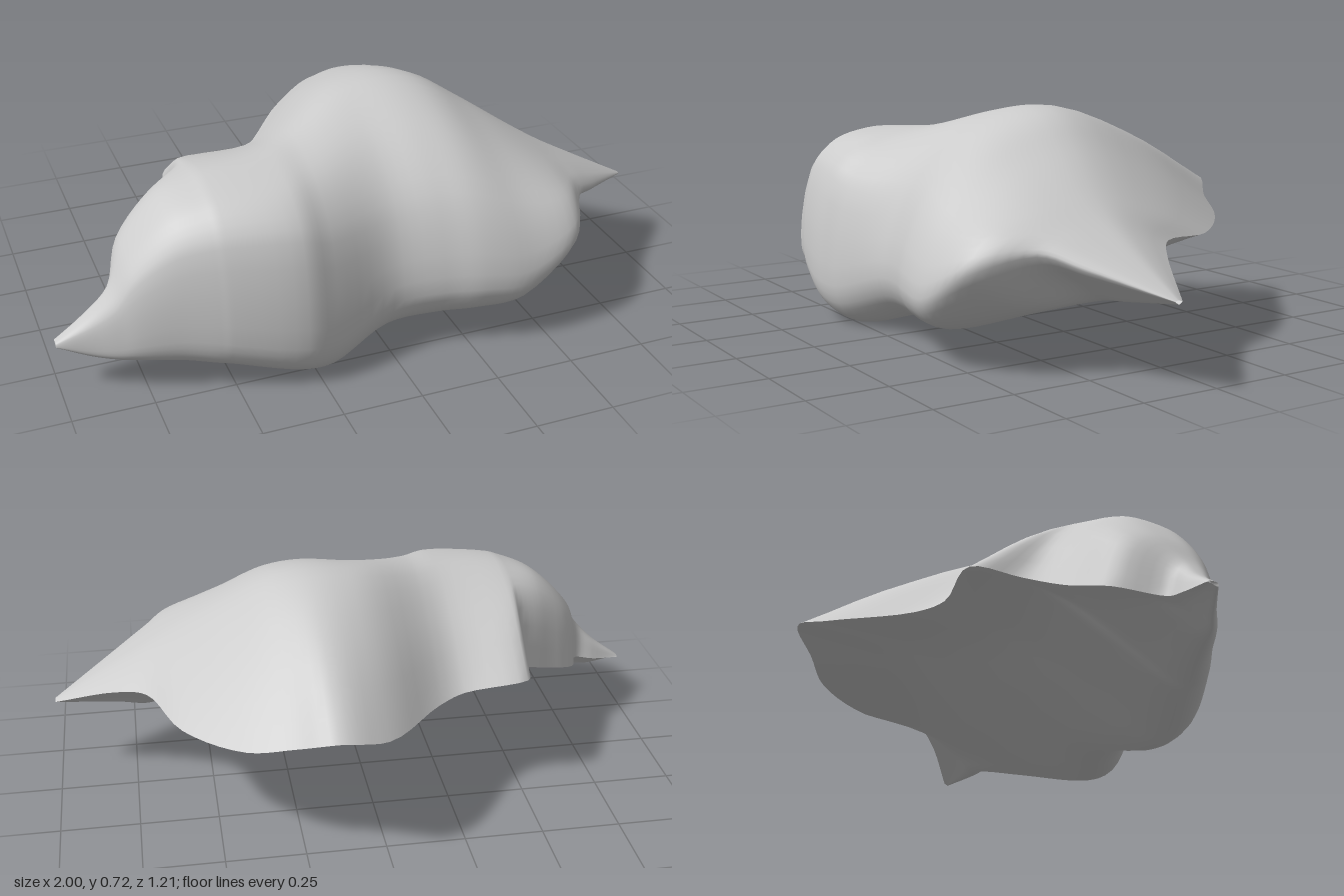
import * as THREE from 'three';

// Cross-sections from right tip to left tip:
// [x, back rim z, back rim y, crest y, front z, underside y]
const SECTIONS = [
  [-1, 0.31, 0.165, 0.17, 0.345, 0.155],
  [-0.9, 0.285, 0.18, 0.245, 0.385, 0.12],
  [-0.83, 0.27, 0.2, 0.32, 0.42, 0.11],
  [-0.77, 0.13, 0.24, 0.43, 0.45, 0.1],
  [-0.65, 0.04, 0.29, 0.55, 0.495, 0.09],
  [-0.55, -0.06, 0.35, 0.592, 0.535, 0.073],
  [-0.51, -0.21, 0.385, 0.603, 0.55, 0.062],
  [-0.3, -0.23, 0.37, 0.62, 0.6, 0.015],
  [-0.2, -0.3, 0.37, 0.632, 0.585, 0],
  [0, -0.54, 0.4, 0.697, 0.53, 0.055],
  [0.16, -0.61, 0.445, 0.715, 0.555, 0.073],
  [0.28, -0.54, 0.4, 0.69, 0.59, 0.086],
  [0.42, -0.47, 0.362, 0.607, 0.605, 0.108],
  [0.6, -0.28, 0.345, 0.49, 0.56, 0.175],
  [0.7, -0.06, 0.36, 0.43, 0.395, 0.21],
  [0.8, 0.02, 0.335, 0.375, 0.31, 0.225],
  [1, 0.125, 0.26, 0.265, 0.15, 0.253],
];
const AROUND = 40;
const ALONG = 5;
const { lerp, smoothstep } = THREE.MathUtils;

// Loop of one section: back rim, crest, rounded front, underside, back rim
function sectionLoop([x, zb, yb, yt, zf, yd]) {
  const points = [];
  const add = (z, y) => points.push(new THREE.Vector3(x, y, z));
  const width = zf - zb;
  // The crest runs forward on the right lobe and back on the main one
  const ridge = 0.22 - 0.22 * smoothstep(x, -0.4, 0.1) + 0.14 * smoothstep(x, 0.2, 0.8);
  const zt = Math.max(ridge, zb + width * 0.35);
  // Towards the left tip the front turns into a raised, thin edge
  const edge = smoothstep(x, 0.5, 0.72);
  const yf = lerp(yd, yt, 0.22 + 0.48 * edge);
  // The right lobe is blunter in front and behind
  const power = lerp(3.1, 2, smoothstep(x, -0.35, -0.05));
  const backRise = lerp(0.8, 0.62, smoothstep(x, -0.56, -0.48));

  add(zb, yb);
  add(lerp(zb, zt, 0.5), lerp(yb, yt, backRise));
  add(zt, yt);
  for (const f of [0.35, 0.65, 0.88, 1]) {
    add(lerp(zt, zf, f), lerp(yf, yt, Math.pow(1 - Math.pow(f, power), 1 / power)));
  }
  const zd = zf - width * lerp(0.14, 0.5, edge);
  add(lerp(zf, zd, lerp(0.28, 0.48, edge)), lerp(yf, yd, lerp(0.7, 0.55, edge)));
  add(zd, yd);
  for (const f of [0.33, 0.67]) add(lerp(zd, zb, f), lerp(yd, yb, f) + 0.09 * width * f * (1 - edge));
  add(zb, yb);
  return new THREE.CatmullRomCurve3(points, false, 'centripetal').getPoints(AROUND);
}

// Splines run lengthwise through the matching points of all sections
function loftGeometry() {
  const loops = SECTIONS.map(sectionLoop);
  const steps = (loops.length - 1) * ALONG;
  const row = steps + 1;
  const positions = [];
  const index = [];
  for (let j = 0; j <= AROUND; j++) {
    const line = new THREE.CatmullRomCurve3(loops.map((loop) => loop[j]), false, 'centripetal');
    line.getPoints(steps).forEach((v, i) => {
      positions.push(v.x, Math.max(0, v.y), v.z);
      if (j < AROUND && i < steps) {
        const a = j * row + i;
        index.push(a, a + row, a + 1, a + row, a + row + 1, a + 1);
      }
    });
  }
  const geometry = new THREE.BufferGeometry();
  geometry.setAttribute('position', new THREE.Float32BufferAttribute(positions, 3));
  geometry.setIndex(index);
  geometry.computeVertexNormals();
  return geometry;
}

export function createModel() {
  const group = new THREE.Group();
  group.name = 'lobedShell';
  const material = new THREE.MeshStandardMaterial({ color: 0xcccccc, side: THREE.DoubleSide });
  const body = new THREE.Mesh(loftGeometry(), material);
  body.name = 'body';
  group.add(body);
  return group;
}
